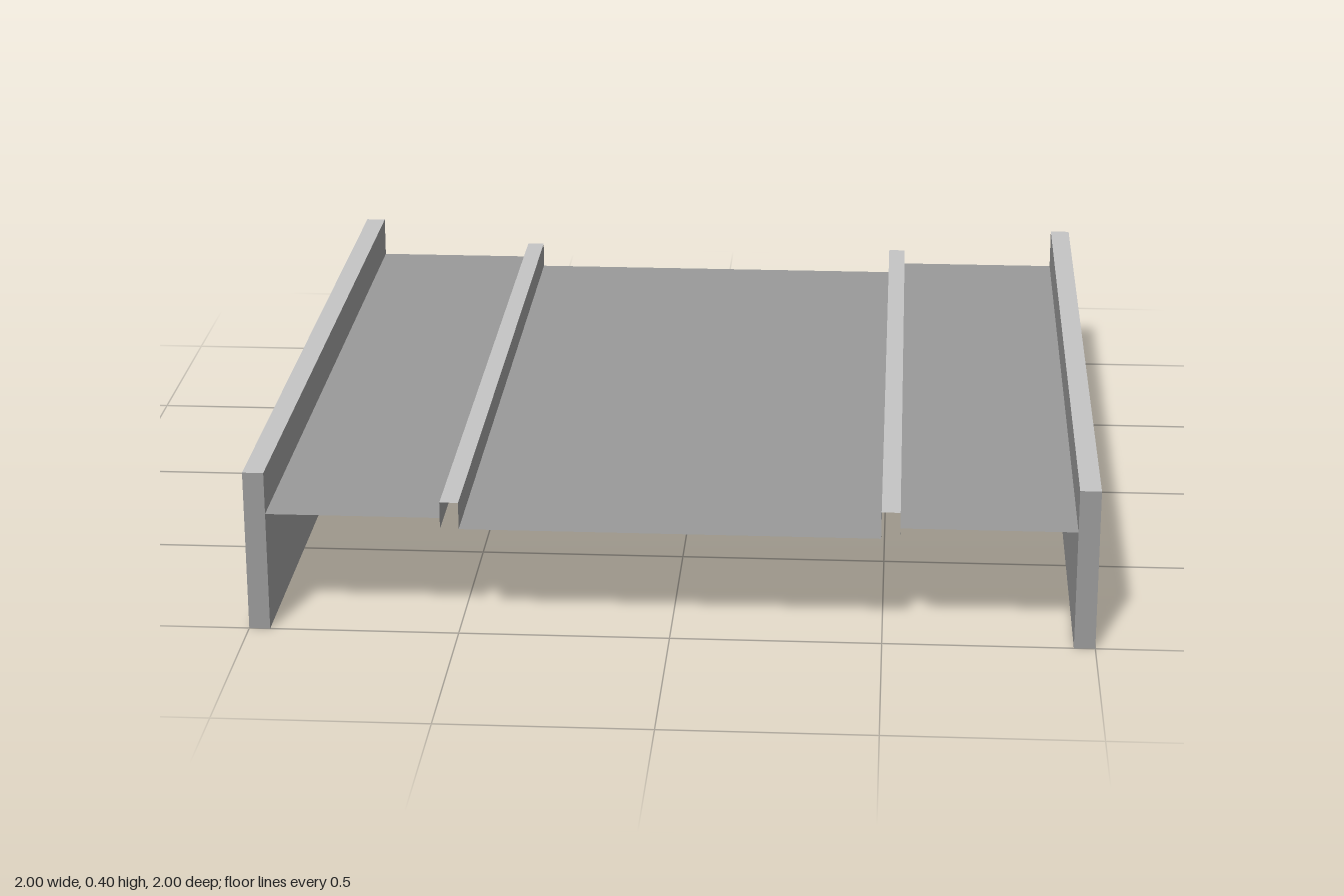
import * as THREE from 'three';

// Heights and widths of the folded-sheet tray
const WALL_TOP = 0.396, WALL_IN = 0.95;
const RAIL_TOP = 0.332, RAIL_IN = 0.494, RAIL_OUT = 0.538;
const MID_DECK = 0.266, SIDE_DECK = 0.293;
const LENGTH = 2;

export function createModel() {
  const model = new THREE.Group();
  model.name = 'tray';

  const grey = new THREE.MeshStandardMaterial({ color: 0x999999, side: THREE.DoubleSide });
  grey.name = 'mid grey';
  const light = new THREE.MeshStandardMaterial({ color: 0xc4c4c4, side: THREE.DoubleSide });
  light.name = 'light grey';

  const add = (name, geometry, material, parent = model) => {
    const mesh = new THREE.Mesh(geometry, material);
    mesh.name = name;
    parent.add(mesh);
    return mesh;
  };

  // Full-length horizontal sheet between two x positions
  const flat = (name, x0, x1, y, material, parent) => {
    const g = new THREE.PlaneGeometry(Math.abs(x1 - x0), LENGTH).rotateX(-Math.PI / 2);
    add(name, g.translate((x0 + x1) / 2, y, 0), material, parent);
  };

  // Full-length vertical sheet facing left or right
  const upright = (name, x, y0, y1, facing, parent) => {
    const g = new THREE.PlaneGeometry(LENGTH, y1 - y0).rotateY(facing * Math.PI / 2);
    add(name, g.translate(x, (y0 + y1) / 2, 0), grey, parent);
  };

  // Small end plate across a wall or rail
  const endPlate = (name, x0, x1, y0, y1, z, material, parent) => {
    const g = new THREE.PlaneGeometry(Math.abs(x1 - x0), y1 - y0);
    if (z < 0) g.rotateY(Math.PI);
    add(name, g.translate((x0 + x1) / 2, (y0 + y1) / 2, z), material, parent);
  };

  flat('middleDeck', -RAIL_IN, RAIL_IN, MID_DECK, grey);

  for (const s of [-1, 1]) {
    const side = s > 0 ? 'left' : 'right';
    flat(side + 'Deck', s * RAIL_OUT, s * WALL_IN, SIDE_DECK, grey);

    // Hollow side wall, open underneath
    const wall = new THREE.Group();
    wall.name = side + 'Wall';
    model.add(wall);
    upright('outerSheet', s, 0, WALL_TOP, s, wall);
    upright('innerSheet', s * WALL_IN, 0, WALL_TOP, -s, wall);
    flat('wallTop', s * WALL_IN, s, WALL_TOP, light, wall);
    endPlate('wallFrontEnd', s * WALL_IN, s, 0, WALL_TOP, 1, grey, wall);

    // Hollow rail, open underneath and at the front
    const rail = new THREE.Group();
    rail.name = side + 'Rail';
    model.add(rail);
    upright('railInnerSide', s * RAIL_IN, MID_DECK, RAIL_TOP, -s, rail);
    upright('railOuterSide', s * RAIL_OUT, MID_DECK, RAIL_TOP, s, rail);
    flat('railTop', s * RAIL_IN, s * RAIL_OUT, RAIL_TOP, light, rail);
    endPlate('railBackEnd', s * RAIL_IN, s * RAIL_OUT, MID_DECK, RAIL_TOP, -1, light, rail);
  }

  // Back wall, stepped to follow the decks and side walls
  const half = [
    [1, 0], [1, WALL_TOP], [WALL_IN, WALL_TOP], [WALL_IN, SIDE_DECK],
    [RAIL_OUT, SIDE_DECK], [RAIL_OUT, MID_DECK],
  ];
  const outline = [...half, ...half.map(([x, y]) => [-x, y]).reverse()];
  const shape = new THREE.Shape(outline.map(([x, y]) => new THREE.Vector2(x, y)));
  add('backWall', new THREE.ShapeGeometry(shape).rotateY(Math.PI).translate(0, 0, -1), grey);

  return model;
}
